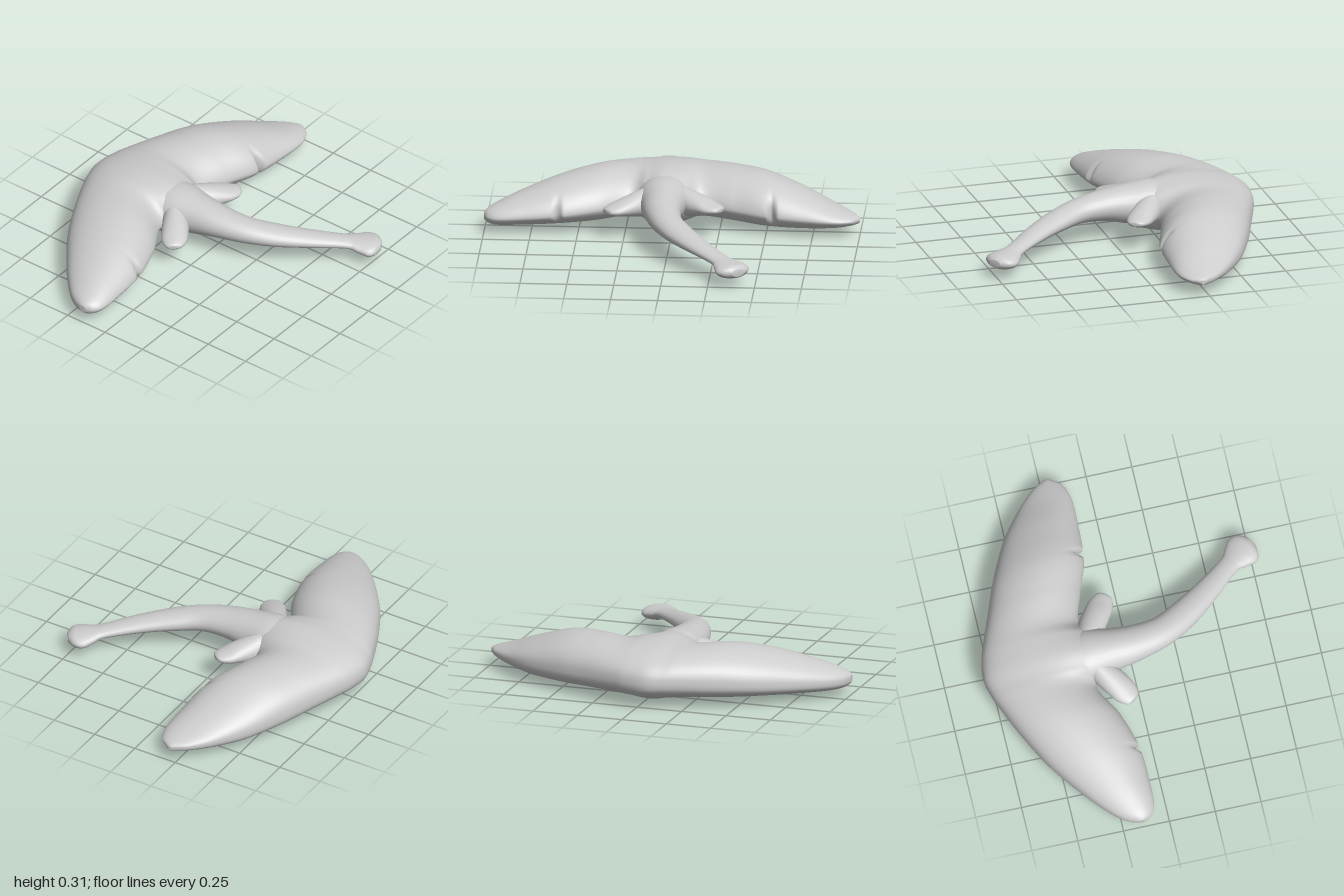
import * as THREE from 'three';

// Smooth interpolation through rows of numbers; t is a row index
function sample(rows, t) {
  const i = Math.min(Math.floor(t), rows.length - 2), f = t - i;
  const row = k => rows[Math.max(0, Math.min(rows.length - 1, k))];
  const [a, b, c, d] = [row(i - 1), row(i), row(i + 1), row(i + 2)];
  return b.map((_, k) => 0.5 * (2 * b[k] + (c[k] - a[k]) * f
    + (2 * a[k] - 5 * b[k] + 4 * c[k] - d[k]) * f * f
    + (3 * b[k] - a[k] - 3 * c[k] + d[k]) * f * f * f));
}

// Skin over closed rings of equal length, closed at both ends
function skin(rings) {
  const n = rings[0].length;
  const collapse = ring => {
    const c = new THREE.Vector3();
    ring.forEach(p => c.addScaledVector(p, 1 / n));
    return ring.map(() => c);
  };
  const all = [collapse(rings[0]), ...rings, collapse(rings[rings.length - 1])];
  const index = [];
  for (let i = 0; i < all.length - 1; i++) {
    for (let j = 0; j < n; j++) {
      const a = i * n + j, b = i * n + (j + 1) % n;
      index.push(a, a + n, b, b, a + n, b + n);
    }
  }
  const g = new THREE.BufferGeometry().setFromPoints(all.flat());
  g.setIndex(index);
  g.computeVertexNormals();
  return g;
}

// Wing disc stations: x, leading z, trailing z, top y, bottom y, rim y
const DISC = [
  [-1, -0.17, -0.13, 0.11, 0.07, 0.09],
  [-0.975, -0.23, -0.09, 0.13, 0.05, 0.09],
  [-0.92, -0.3, -0.065, 0.155, 0.037, 0.092],
  [-0.8, -0.41, -0.06, 0.2, 0.032, 0.1],
  [-0.6, -0.56, -0.07, 0.26, 0.028, 0.115],
  [-0.4, -0.67, -0.13, 0.295, 0.025, 0.13],
  [-0.22, -0.75, -0.22, 0.295, 0.03, 0.14],
  [-0.14, -0.78, -0.13, 0.3, 0.02, 0.14],
  [-0.05, -0.8, -0.04, 0.31, 0.002, 0.14],
  [0.06, -0.785, -0.13, 0.303, 0.018, 0.14],
  [0.15, -0.755, -0.23, 0.292, 0.026, 0.14],
  [0.32, -0.69, -0.185, 0.295, 0.022, 0.13],
  [0.5, -0.62, -0.125, 0.28, 0.015, 0.12],
  [0.7, -0.52, -0.11, 0.215, 0.02, 0.105],
  [0.86, -0.4, -0.11, 0.15, 0.038, 0.095],
  [0.95, -0.31, -0.14, 0.118, 0.055, 0.09],
  [0.985, -0.255, -0.18, 0.105, 0.063, 0.088],
  [1, -0.225, -0.205, 0.095, 0.07, 0.085],
];

// Point on a disc section: full at the leading edge, thinner at the trailing edge
function discPoint([x, lead, trail, top, bottom, rim], angle) {
  const notch = 0.04 * Math.exp(-(((x + 0.605) / 0.012) ** 2))
    + 0.06 * Math.exp(-(((x - 0.535) / 0.012) ** 2));
  const c = Math.cos(angle), s = Math.sin(angle);
  const h = Math.abs(s) ** (1 + 0.18 * c);
  const z = (lead + trail) / 2 + c * (trail - lead) / 2 - notch * Math.max(0, c) ** 6;
  return new THREE.Vector3(x, s > 0 ? rim + (top - rim) * h : rim - (rim - bottom) * h, z);
}

function discGeometry() {
  const rings = [], steps = (DISC.length - 1) * 14;
  for (let i = 0; i <= steps; i++) {
    const row = sample(DISC, i / 14);
    rings.push(Array.from({ length: 48 }, (_, j) => discPoint(row, j / 48 * Math.PI * 2)));
  }
  return skin(rings);
}

// Limb stations: x, z, half width, top y, bottom y
function limbGeometry(rows) {
  const rings = [], steps = (rows.length - 1) * 6;
  for (let i = 0; i <= steps; i++) {
    const t = i / 6;
    const [x, z, w, top, bottom] = sample(rows, t);
    const p = sample(rows, Math.max(0, t - 0.1)), q = sample(rows, Math.min(rows.length - 1, t + 0.1));
    const d = new THREE.Vector2(q[0] - p[0], q[1] - p[1]).normalize();
    rings.push(Array.from({ length: 28 }, (_, j) => {
      const a = j / 28 * Math.PI * 2, c = Math.cos(a) * w;
      return new THREE.Vector3(x - d.y * c, (top + bottom) / 2 + Math.sin(a) * (top - bottom) / 2, z + d.x * c);
    }));
  }
  return skin(rings);
}

// Small diamond laid on the upper surface of the head
function diamondGeometry() {
  const g = new THREE.PlaneGeometry(0.085, 0.085, 6, 6).rotateX(-Math.PI / 2).rotateY(Math.PI / 4);
  const pos = g.attributes.position;
  for (let i = 0; i < pos.count; i++) {
    const x = pos.getX(i) - 0.05, z = pos.getZ(i) - 0.67;
    let lo = 6, hi = 11;
    for (let k = 0; k < 30; k++) {
      const m = (lo + hi) / 2;
      if (sample(DISC, m)[0] < x) lo = m; else hi = m;
    }
    const row = sample(DISC, lo);
    const u = (z - (row[1] + row[2]) / 2) / ((row[2] - row[1]) / 2);
    pos.setXYZ(i, x, discPoint(row, Math.acos(u)).y + 0.002, z);
  }
  g.computeVertexNormals();
  return g;
}

export function createModel() {
  const skinGrey = new THREE.MeshStandardMaterial({ color: 0xcccccc });
  skinGrey.name = 'skin grey';
  const model = new THREE.Group();
  model.name = 'ray';
  const add = (name, geometry) => {
    const mesh = new THREE.Mesh(geometry, skinGrey);
    mesh.name = name;
    model.add(mesh);
  };

  add('wingDisc', discGeometry());
  add('headDiamond', diamondGeometry());

  // Tail curving to the left, with a rounded club at the end
  add('tail', limbGeometry([
    [-0.045, -0.42, 0.12, 0.27, 0.06], [-0.045, -0.25, 0.145, 0.294, 0.05],
    [-0.045, -0.1, 0.118, 0.28, 0.07], [-0.038, 0.03, 0.1, 0.262, 0.1],
    [-0.005, 0.18, 0.085, 0.238, 0.11], [0.07, 0.32, 0.08, 0.21, 0.106],
    [0.17, 0.46, 0.068, 0.18, 0.1], [0.3, 0.615, 0.055, 0.143, 0.085],
    [0.34, 0.665, 0.075, 0.134, 0.065], [0.375, 0.71, 0.097, 0.13, 0.05],
    [0.4, 0.745, 0.08, 0.126, 0.055], [0.415, 0.768, 0.035, 0.11, 0.07],
  ]));

  // Pelvic fins beside the tail root
  add('rightPelvicFin', limbGeometry([
    [-0.1, -0.22, 0.06, 0.26, 0.07], [-0.18, -0.155, 0.07, 0.235, 0.1],
    [-0.25, -0.105, 0.072, 0.21, 0.115], [-0.3, -0.072, 0.066, 0.19, 0.125],
    [-0.335, -0.05, 0.045, 0.175, 0.135], [-0.345, -0.043, 0.02, 0.165, 0.145],
  ]));
  add('leftPelvicFin', limbGeometry([
    [0.02, -0.24, 0.06, 0.26, 0.07], [0.1, -0.18, 0.072, 0.24, 0.1],
    [0.17, -0.13, 0.072, 0.22, 0.12], [0.22, -0.095, 0.066, 0.2, 0.135],
    [0.257, -0.068, 0.045, 0.188, 0.15], [0.268, -0.06, 0.02, 0.178, 0.16],
  ]));
  return model;
}
